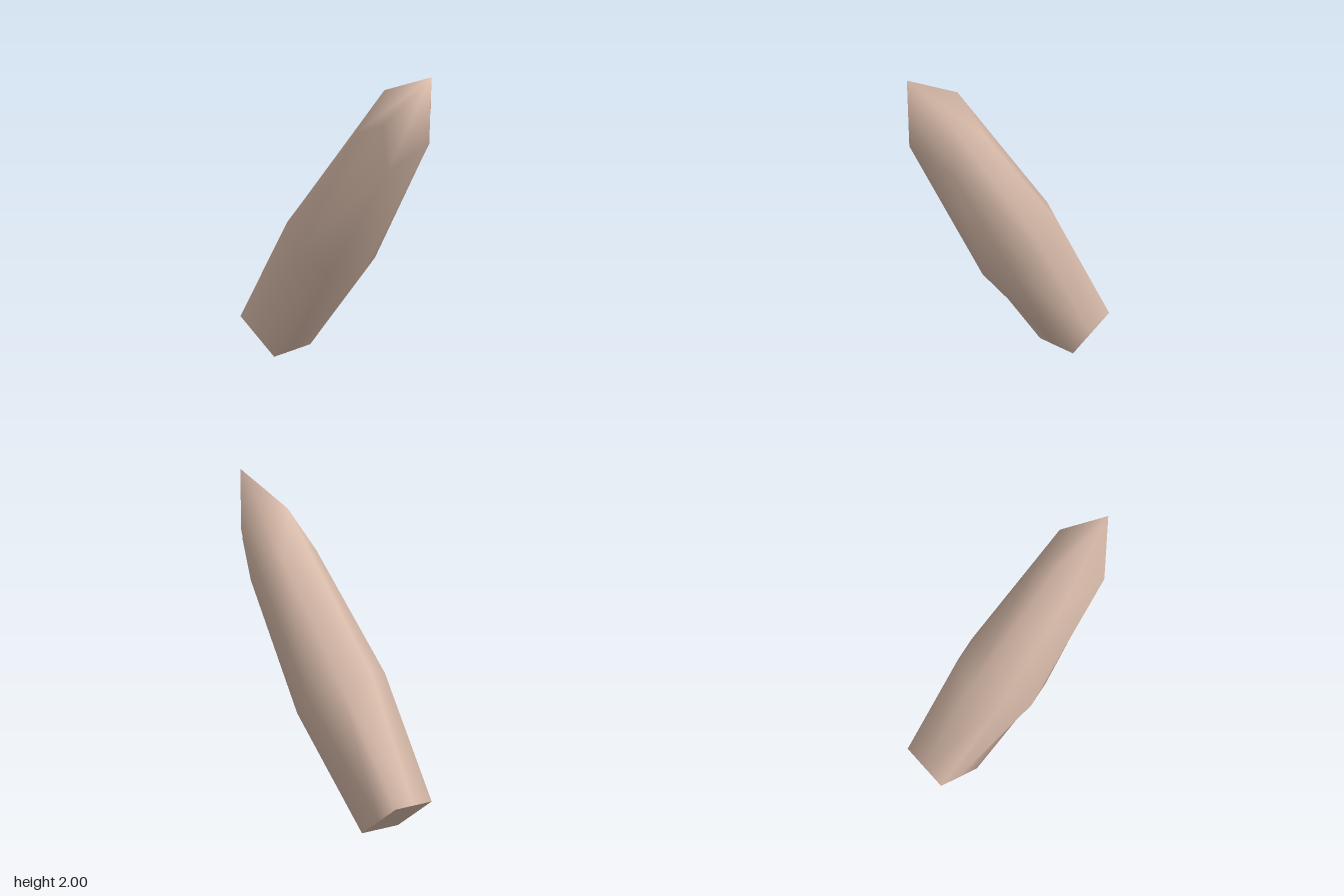
import * as THREE from 'three';

const SIDES = 8;
const DEPTH = 1.09; // front-to-back stretch of every section

// Sections along the axis: [radius, height] at the cardinal and the diagonal corners
const SECTIONS = [
  { cardinal: [0.153, 0], diagonal: [0.216, 0] },        // square foot
  { cardinal: [0.272, 0.818], diagonal: [0.272, 0.818] }, // widest octagon
  { cardinal: [0.203, 1.933], diagonal: [0.203, 1.663] }, // zigzag shoulder
];
const TIP_HEIGHT = 2.296;

function corner(section, i) {
  const [r, y] = i % 2 ? section.diagonal : section.cardinal;
  const a = (i / SIDES) * Math.PI * 2;
  return [Math.sin(a) * r, y, Math.cos(a) * r * DEPTH];
}

function buildGeometry(positions, index) {
  const geometry = new THREE.BufferGeometry();
  geometry.setAttribute('position', new THREE.Float32BufferAttribute(positions, 3));
  geometry.setIndex(index);
  geometry.computeVertexNormals();
  return geometry;
}

export function createModel() {
  const group = new THREE.Group();
  group.name = 'crystalShard';
  const stone = new THREE.MeshStandardMaterial({ color: 0xd8bbaa, side: THREE.DoubleSide });
  stone.name = 'paleStone';

  // Smooth shaft with a four-sided point
  const positions = [];
  const index = [];
  SECTIONS.forEach((section) => {
    for (let i = 0; i < SIDES; i++) positions.push(...corner(section, i));
  });
  const tip = positions.length / 3;
  positions.push(0, TIP_HEIGHT, 0);
  const last = (SECTIONS.length - 1) * SIDES;
  for (let i = 0; i < SIDES; i++) {
    const j = (i + 1) % SIDES;
    for (let s = 0; s < last; s += SIDES) {
      const a = s + i, b = s + j, c = b + SIDES, d = a + SIDES;
      // mirror the diagonals so both halves match
      if (i % 2) index.push(a, b, d, b, c, d);
      else index.push(a, b, c, a, c, d);
    }
    index.push(last + i, last + j, tip);
  }
  const shaft = new THREE.Mesh(buildGeometry(positions, index), stone);
  shaft.name = 'shaft';

  // Flat foot with a sharp rim
  const footPoints = [1, 3, 5, 7].flatMap((i) => corner(SECTIONS[0], i));
  const foot = new THREE.Mesh(buildGeometry(footPoints, [0, 2, 1, 0, 3, 2]), stone);
  foot.name = 'foot';

  // Lean the shard forward
  const lean = new THREE.Group();
  lean.name = 'leaningShard';
  lean.add(shaft, foot);
  lean.rotation.x = 0.592;
  lean.position.set(0, 0.095, -0.57);
  group.add(lean);
  return group;
}
